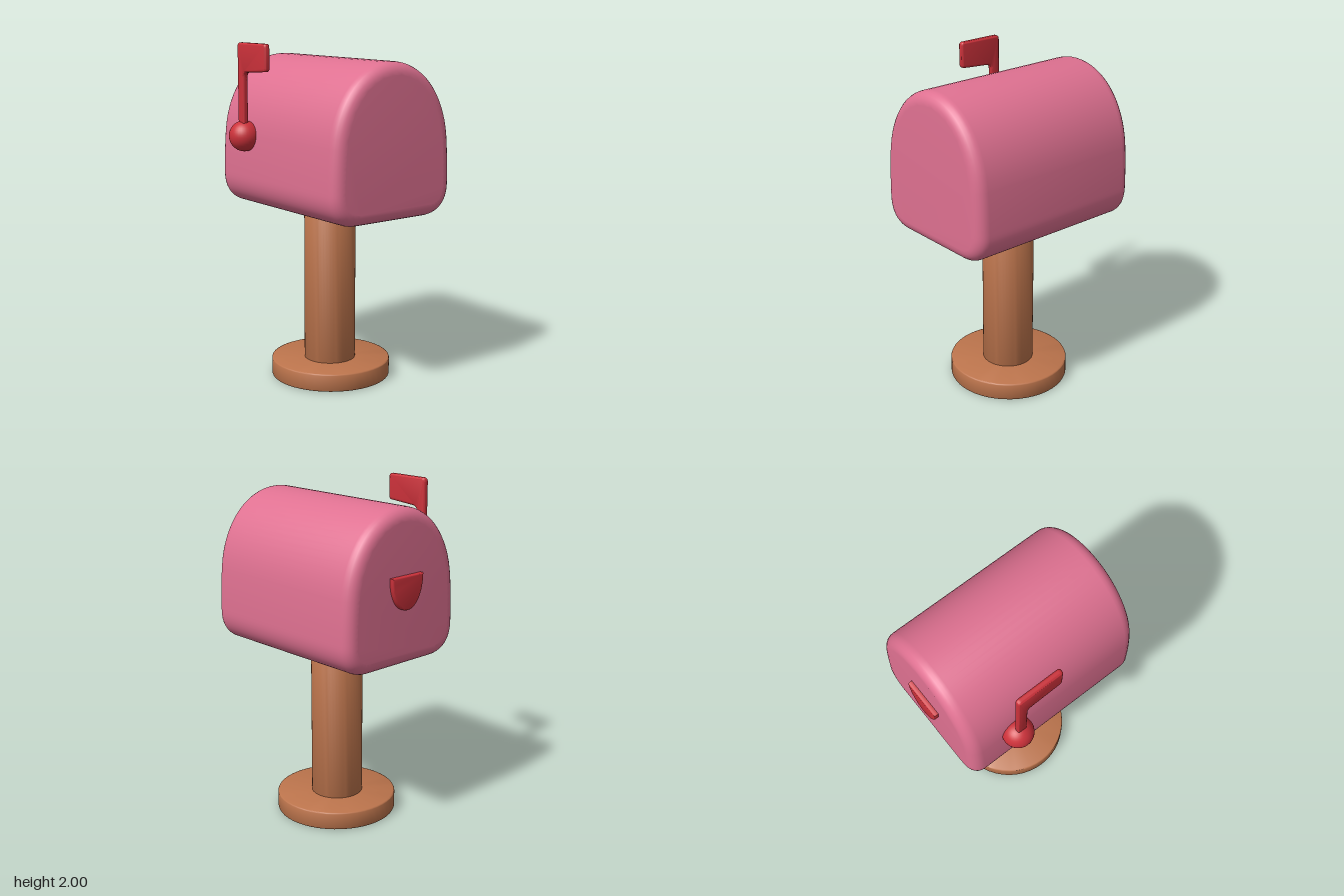
import * as THREE from 'three';
import { toCreasedNormals } from 'three/addons/utils/BufferGeometryUtils.js';

const pink = new THREE.MeshStandardMaterial({ name: 'pink', color: 0xdf7191 });
const red = new THREE.MeshStandardMaterial({ name: 'red', color: 0xcb313a });
const brown = new THREE.MeshStandardMaterial({ name: 'brown', color: 0xbc744c });

// Extrusion of total depth centred on z = 0, with rounded edges that stay inside the outline
function roundedExtrude(shape, depth, bevel, segments, curveSegments = 16) {
  const geo = new THREE.ExtrudeGeometry(shape, {
    depth: depth - 2 * bevel, bevelThickness: bevel, bevelSize: bevel,
    bevelOffset: -bevel, bevelSegments: segments, curveSegments,
  });
  geo.translate(0, 0, -depth / 2 + bevel);
  return toCreasedNormals(geo, 0.8);
}

// Upright disc or post with softly rounded rims
function turned(radius, y0, y1, rim) {
  const profile = [
    [0, y0], [radius - rim, y0], [radius - rim * 0.3, y0 + rim * 0.3], [radius, y0 + rim],
    [radius, y1 - rim], [radius - rim * 0.3, y1 - rim * 0.3], [radius - rim, y1], [0, y1],
  ].map(([x, y]) => new THREE.Vector2(x, y));
  return toCreasedNormals(new THREE.LatheGeometry(profile, 48), 0.8);
}

export function createModel() {
  const model = new THREE.Group();
  model.name = 'mailbox';
  const add = (name, geo, mat, x, y, z) => {
    const mesh = new THREE.Mesh(geo, mat);
    mesh.name = name;
    mesh.position.set(x, y, z);
    model.add(mesh);
    return mesh;
  };

  // Stand
  add('base', turned(0.357, 0, 0.106, 0.008), brown, 0.005, 0, -0.04);
  add('post', turned(0.153, 0.09, 1.06, 0.005), brown, 0.005, 0, -0.034);

  // Arched box: rounded bottom corners, slightly tapering sides, domed top
  const arch = new THREE.Shape();
  arch.moveTo(-0.25, 1.03);
  arch.lineTo(0.25, 1.03);
  arch.bezierCurveTo(0.36, 1.03, 0.425, 1.1, 0.425, 1.21);
  arch.bezierCurveTo(0.425, 1.31, 0.42, 1.4, 0.412, 1.48);
  arch.bezierCurveTo(0.385, 1.735, 0.215, 1.915, 0, 1.915);
  arch.bezierCurveTo(-0.215, 1.915, -0.385, 1.735, -0.412, 1.48);
  arch.bezierCurveTo(-0.42, 1.4, -0.425, 1.31, -0.425, 1.21);
  arch.bezierCurveTo(-0.425, 1.1, -0.36, 1.03, -0.25, 1.03);
  add('box', roundedExtrude(arch, 1.135, 0.07, 6), pink, 0.0125, 0, -0.05).rotation.y = Math.PI / 2;

  // Shield-shaped door handle on the end
  const shield = new THREE.Shape();
  shield.moveTo(-0.12, 1.55);
  shield.bezierCurveTo(-0.12, 1.44, -0.07, 1.357, 0, 1.357);
  shield.bezierCurveTo(0.07, 1.357, 0.12, 1.44, 0.12, 1.55);
  shield.closePath();
  add('handle', roundedExtrude(shield, 0.05, 0.01, 3), red, -0.557, 0, -0.05).rotation.y = Math.PI / 2;

  // Signal flag: pivot ball, arm and banner
  add('flagPivot', new THREE.SphereGeometry(0.09, 32, 20), red, -0.265, 1.46, 0.388);
  const flag = new THREE.Shape();
  flag.moveTo(-0.285, 1.46);
  flag.lineTo(-0.285, 1.975);
  flag.quadraticCurveTo(-0.285, 2, -0.26, 2);
  flag.lineTo(-0.02, 2);
  flag.quadraticCurveTo(0, 2, 0, 1.98);
  flag.lineTo(0, 1.865);
  flag.quadraticCurveTo(0, 1.846, -0.02, 1.844);
  flag.lineTo(-0.195, 1.831);
  flag.quadraticCurveTo(-0.222, 1.829, -0.223, 1.8);
  flag.lineTo(-0.227, 1.46);
  flag.closePath();
  add('flag', roundedExtrude(flag, 0.036, 0.012, 4, 8), red, 0, 0, 0.4);

  return model;
}
